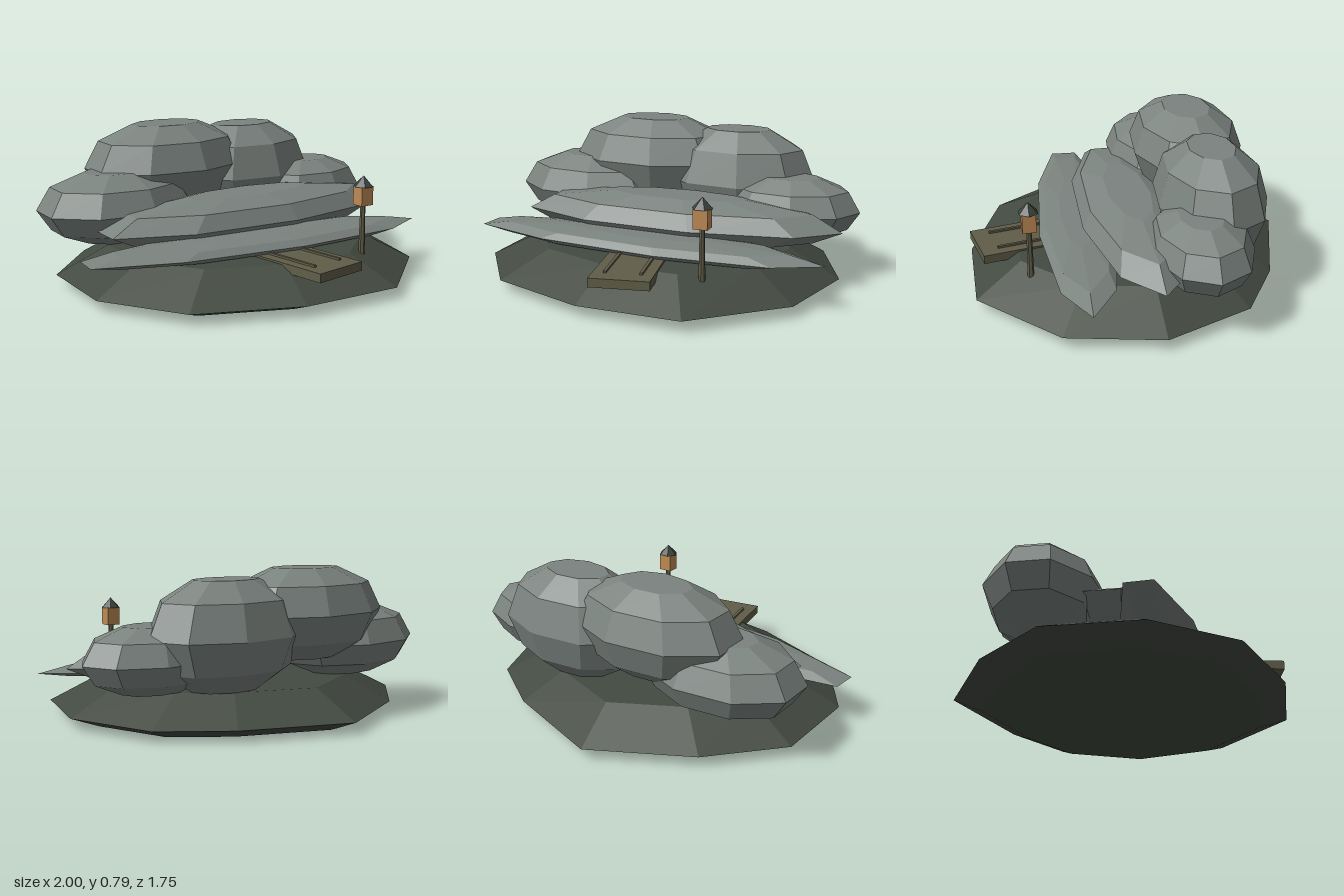
import * as THREE from 'three';

const mat = (name, color) => {
  const m = new THREE.MeshStandardMaterial({ color, flatShading: true });
  m.name = name;
  return m;
};

// Closed faceted solid from rings of [x, y, z] points, listed bottom to top
function loft(rings) {
  const n = rings[0].length, pos = [], idx = [];
  rings.forEach(r => r.forEach(p => pos.push(...p)));
  const cap = r => {
    const c = [0, 1, 2].map(k => r.reduce((s, p) => s + p[k], 0) / n);
    pos.push(...c);
    return pos.length / 3 - 1;
  };
  const bottom = cap(rings[0]), top = cap(rings[rings.length - 1]);
  const last = (rings.length - 1) * n;
  for (let j = 0; j < n; j++) {
    const k = (j + 1) % n;
    for (let i = 0; i < last; i += n) {
      idx.push(i + j, i + n + j, i + k, i + k, i + n + j, i + n + k);
    }
    idx.push(bottom, j, k, top, last + k, last + j);
  }
  const g = new THREE.BufferGeometry();
  g.setAttribute('position', new THREE.Float32BufferAttribute(pos, 3));
  g.setIndex(idx);
  const flat = g.toNonIndexed();
  flat.computeVertexNormals();
  return flat;
}

// Nine-sided boulder: [radius, height] profile scaled to its half sizes
const PROFILE = [[0.45, -1], [0.83, -0.62], [1, 0], [0.83, 0.64], [0.42, 1]];
function boulder(rx, up, down, rz) {
  return loft(PROFILE.map(([r, h]) => Array.from({ length: 9 }, (_, j) => {
    const a = j / 9 * Math.PI * 2;
    return [Math.cos(a) * r * rx, h * (h > 0 ? up : down), Math.sin(a) * r * rz];
  })));
}

export function createModel() {
  const group = new THREE.Group();
  const stone = mat('grey stone', 0x7b837f);
  const earth = mat('dark earth', 0x434a41);
  const wood = mat('weathered wood', 0x605d48);
  const glow = mat('lantern amber', 0xbd8a54);
  const iron = mat('dark roof', 0x3b433f);

  const add = (name, geo, material, x, y, z, parent = group) => {
    const m = new THREE.Mesh(geo, material);
    m.name = name;
    m.position.set(x, y, z);
    parent.add(m);
    return m;
  };

  // Irregular eleven-sided island, widest just above the ground
  const rim = [[0.95, 0], [0.83, 0.49], [0.4, 0.87], [-0.15, 0.86], [-0.68, 0.66], [-0.96, 0.25],
    [-0.96, -0.25], [-0.65, -0.6], [-0.15, -0.88], [0.42, -0.69], [0.76, -0.47]];
  const ring = (s, y) => rim.map(([x, z]) => [x * s, y, z * s]);
  add('island', loft([ring(0.83, 0), ring(1, 0.06), ring(0.72, 0.2)]), earth, 0, 0, 0);

  // Boulders: name, centre, half width, height above and below centre, half depth, turn
  [
    ['tallBoulderRight', -0.23, 0.56, -0.375, 0.48, 0.23, 0.24, 0.31, 0],
    ['tallBoulderLeft', 0.275, 0.47, -0.38, 0.445, 0.28, 0.27, 0.295, 0],
    ['sideBoulderRight', -0.575, 0.38, -0.295, 0.45, 0.19, 0.18, 0.31, 0],
    ['sideBoulderLeft', 0.615, 0.36, -0.24, 0.385, 0.17, 0.16, 0.265, 0],
    ['middleSlab', 0.053, 0.31, 0.014, 0.907, 0.13, 0.11, 0.275, 0],
    ['frontSlab', -0.05, 0.235, 0.285, 1.01, 0.05, 0.045, 0.21, -0.074],
  ].forEach(([name, x, y, z, rx, up, down, rz, turn]) => {
    add(name, boulder(rx, up, down, rz), stone, x, y, z).rotation.y = turn;
  });

  // Jetty with two raised strips
  const jetty = new THREE.Group();
  jetty.name = 'jetty';
  jetty.position.set(0.025, 0, 0.59);
  jetty.rotation.y = 0.18;
  group.add(jetty);
  add('jettyDeck', new THREE.BoxGeometry(0.305, 0.046, 0.5), wood, 0, 0.187, 0, jetty);
  for (const s of [-1, 1]) {
    add('jettyStrip', new THREE.BoxGeometry(0.016, 0.012, 0.42), wood, s * 0.09, 0.215, -0.05, jetty);
  }

  // Lantern on a post
  const lantern = new THREE.Group();
  lantern.name = 'lantern';
  lantern.position.set(0.4, 0, 0.587);
  group.add(lantern);
  add('lanternPost', new THREE.CylinderGeometry(0.013, 0.018, 0.33, 6), wood, 0, 0.275, 0, lantern);
  add('lanternLamp', new THREE.BoxGeometry(0.074, 0.1, 0.07), glow, 0, 0.482, 0, lantern);
  add('lanternRoof', new THREE.ConeGeometry(0.054, 0.056, 6), iron, 0, 0.558, 0, lantern).rotation.y = Math.PI / 6;

  return group;
}
